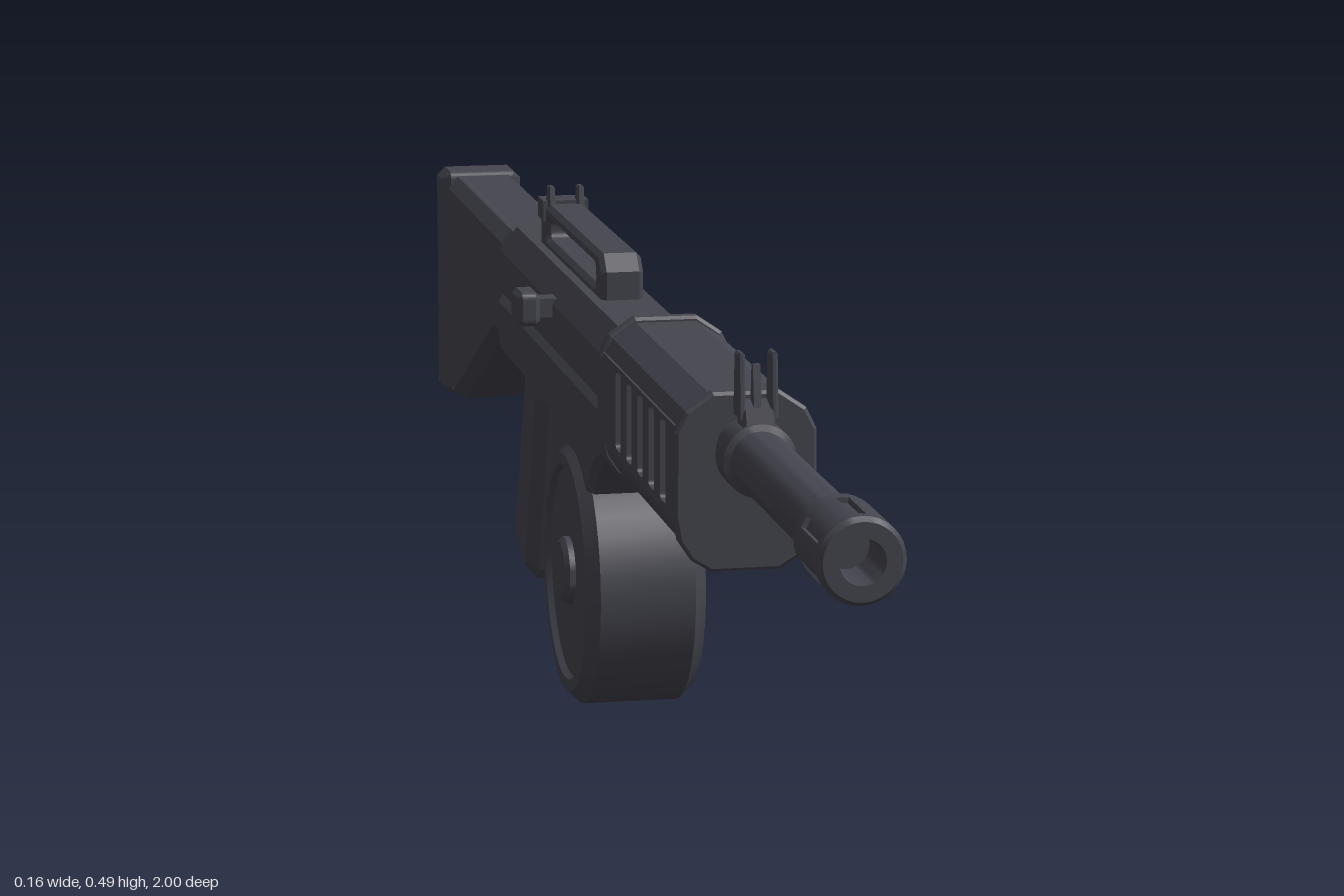
import * as THREE from 'three';
import { toCreasedNormals } from 'three/addons/utils/BufferGeometryUtils.js';

const gunmetal = new THREE.MeshStandardMaterial({ color: 0x45454f });
gunmetal.name = 'gunmetal';

const AXIS_Y = 0.393; // bore height

function toShape(points) {
  return new THREE.Shape(points.map(([x, y]) => new THREE.Vector2(x, y)));
}

// Chamfered extrusion, centred on its depth, keeping the drawn outline
function extrude(shape, depth, bevel) {
  const g = new THREE.ExtrudeGeometry(shape, {
    depth: depth - 2 * bevel, bevelEnabled: bevel > 0, bevelThickness: bevel,
    bevelSize: bevel, bevelOffset: -bevel, bevelSegments: 1, curveSegments: 10,
  });
  return g.translate(0, 0, -depth / 2 + bevel);
}

// Side outline in (z, y), extruded across x
function sidePart(outline, width, bevel) {
  const shape = Array.isArray(outline) ? toShape(outline) : outline;
  return extrude(shape, width, bevel).rotateY(-Math.PI / 2);
}

// Half cross-section (x >= 0, bottom to top), mirrored and run from z0 to z1
function sectionPart(half, z0, z1, bevel) {
  const left = half.map(([x, y]) => [-x, y]).reverse();
  return extrude(toShape([...half, ...left]), z1 - z0, bevel).translate(0, 0, (z0 + z1) / 2);
}

// Turned part along z: profile of [radius, z]
function turned(profile, segments = 32) {
  const g = new THREE.LatheGeometry(profile.map(([r, z]) => new THREE.Vector2(r, z)), segments);
  return toCreasedNormals(g, 0.5).rotateX(Math.PI / 2);
}

function roundedRect(z0, y0, z1, y1, r, path = new THREE.Shape()) {
  path.moveTo(z0 + r, y0);
  path.lineTo(z1 - r, y0).quadraticCurveTo(z1, y0, z1, y0 + r);
  path.lineTo(z1, y1 - r).quadraticCurveTo(z1, y1, z1 - r, y1);
  path.lineTo(z0 + r, y1).quadraticCurveTo(z0, y1, z0, y1 - r);
  path.lineTo(z0, y0 + r).quadraticCurveTo(z0, y0, z0 + r, y0);
  return path;
}

export function createModel() {
  const model = new THREE.Group();
  model.name = 'drumFedRifle';
  const body = new THREE.Group();
  body.name = 'body';
  body.position.x = 0.01;
  model.add(body);

  function add(name, geometry, x = 0, y = 0, z = 0) {
    const mesh = new THREE.Mesh(geometry, gunmetal);
    mesh.name = name;
    mesh.position.set(x, y, z);
    body.add(mesh);
    return mesh;
  }
  const box = (name, w, h, d, x, y, z) => add(name, new THREE.BoxGeometry(w, h, d), x, y, z);

  // Barrel and sight collar
  add('barrel', turned([[0, 0.5], [0.028, 0.5], [0.028, 0.92]]), 0, AXIS_Y, 0);
  add('sightCollar', turned([[0.027, 0.572], [0.034, 0.575], [0.034, 0.61], [0.027, 0.613]]), 0, AXIS_Y, 0);

  // Muzzle with a bore and ribs between its slots
  add('muzzle', turned([
    [0.027, 0.905], [0.035, 0.905], [0.038, 0.91], [0.038, 0.925], [0.033, 0.925], [0.033, 0.985],
    [0.038, 0.985], [0.038, 0.995], [0.034, 1], [0.02, 1], [0.02, 0.94], [0, 0.94],
  ]), 0, AXIS_Y, 0);
  for (let i = 0; i < 6; i++) {
    const a = (i / 6) * Math.PI * 2 - 0.38;
    const rib = new THREE.Shape();
    rib.absarc(0, 0, 0.038, a, a + 0.76, false);
    rib.absarc(0, 0, 0.031, a + 0.76, a, true);
    add('muzzleRib', extrude(rib, 0.062, 0), 0, AXIS_Y, 0.955);
  }

  // Front sight: post and two guard ears
  add('frontSightBase', sidePart([[0.575, 0.41], [0.61, 0.41], [0.603, 0.438], [0.582, 0.445]], 0.03, 0.003));
  add('frontSightPost', sidePart([[0.582, 0.43], [0.6, 0.43], [0.592, 0.478], [0.586, 0.478]], 0.007, 0));
  for (const s of [-1, 1]) {
    add('frontSightEar', sidePart([[0.578, 0.43], [0.602, 0.43], [0.597, 0.49], [0.582, 0.49]], 0.007, 0.002), s * 0.015);
  }

  // Handguard: recessed core, slotted side plates and end bands
  add('handguardCore', sectionPart([
    [0.03, 0.282], [0.047, 0.293], [0.058, 0.31], [0.062, 0.325], [0.052, 0.325],
    [0.052, 0.41], [0.062, 0.41], [0.053, 0.425], [0.03, 0.44],
  ], 0.17, 0.545, 0));
  const plate = toShape([[0.17, 0.322], [0.545, 0.322], [0.545, 0.412], [0.17, 0.412]]);
  for (let i = 0; i < 5; i++) {
    const z = 0.26 + i * 0.055;
    plate.holes.push(roundedRect(z - 0.013, 0.33, z + 0.013, 0.408, 0.006, new THREE.Path()));
  }
  for (const s of [-1, 1]) add('handguardSlots', sidePart(plate, 0.012, 0), s * 0.057);
  for (const z of [0.165, 0.535]) {
    add('handguardBand', sectionPart([
      [0.032, 0.278], [0.05, 0.289], [0.062, 0.307], [0.066, 0.33],
      [0.066, 0.408], [0.056, 0.428], [0.031, 0.445],
    ], z, z + 0.016, 0.003));
  }

  // Receiver: upper, inner core and lower with magazine well
  add('upperReceiver', sectionPart([[0.052, 0.35], [0.052, 0.396], [0.032, 0.421]], -0.51, 0.168, 0.005));
  box('receiverCore', 0.09, 0.04, 0.66, 0, 0.348, -0.17);
  add('lowerReceiver', sidePart([
    [-0.51, 0.345], [-0.51, 0.295], [-0.485, 0.28], [-0.165, 0.28], [-0.145, 0.268], [-0.13, 0.235],
    [0.045, 0.235], [0.06, 0.255], [0.09, 0.278], [0.13, 0.293], [0.165, 0.305], [0.165, 0.345],
  ], 0.108, 0.007));
  box('topLatch', 0.03, 0.012, 0.045, 0, 0.421, 0.14);

  // Charging handle on one side
  box('chargingStem', 0.03, 0.02, 0.025, -0.06, 0.392, -0.178);
  add('chargingKnob', sidePart(roundedRect(-0.202, 0.374, -0.156, 0.41, 0.008), 0.024, 0.005), -0.078);

  // Carry handle with rear sight
  const carry = toShape([[-0.408, 0.41], [-0.043, 0.41], [-0.043, 0.45], [-0.06, 0.467], [-0.4, 0.467], [-0.408, 0.457]]);
  carry.holes.push(roundedRect(-0.37, 0.43, -0.08, 0.451, 0.009, new THREE.Path()));
  add('carryHandle', sidePart(carry, 0.044, 0.005));
  box('rearSightBase', 0.05, 0.022, 0.034, 0, 0.46, -0.391);
  for (const s of [-1, 1]) {
    add('rearSightEar', sidePart([[-0.387, 0.462], [-0.368, 0.462], [-0.372, 0.487], [-0.383, 0.487]], 0.008, 0.002), s * 0.016);
  }

  // Drum magazine, turned about the cross axis
  const drumHalf = [[0, 0.056], [0.108, 0.056], [0.112, 0.062], [0.124, 0.062], [0.137, 0.049]];
  const drum = turned([...drumHalf.map(([r, x]) => [r, -x]), ...drumHalf.slice().reverse()], 40);
  add('drumMagazine', drum.rotateY(Math.PI / 2), 0, 0.137, -0.043);
  const hub = turned([[0, -0.067], [0.03, -0.067], [0.035, -0.062], [0.035, 0.062], [0.03, 0.067], [0, 0.067]]);
  add('drumHub', hub.rotateY(Math.PI / 2), 0, 0.139, -0.043);

  // Trigger guard and trigger
  const guard = toShape([[-0.35, 0.29], [-0.35, 0.202], [-0.338, 0.19], [-0.215, 0.19], [-0.197, 0.208], [-0.197, 0.29]]);
  guard.holes.push(toShape([[-0.335, 0.28], [-0.335, 0.207], [-0.222, 0.207], [-0.213, 0.216], [-0.213, 0.28]]));
  add('triggerGuard', sidePart(guard, 0.036, 0.003));
  add('trigger', sidePart([[-0.284, 0.29], [-0.25, 0.29], [-0.255, 0.25], [-0.262, 0.227], [-0.272, 0.227], [-0.273, 0.255]], 0.016, 0.002));

  // Pistol grip
  add('pistolGrip', sidePart([
    [-0.335, 0.29], [-0.335, 0.255], [-0.407, 0.05], [-0.422, 0.037], [-0.492, 0.063], [-0.498, 0.08], [-0.42, 0.29],
  ], 0.078, 0.014));

  // Shoulder stock, its joint and butt pad
  box('stockJoint', 0.07, 0.1, 0.04, 0, 0.348, -0.515);
  add('stockCollar', sectionPart([[0.034, 0.285], [0.046, 0.297], [0.046, 0.398], [0.034, 0.413]], -0.535, -0.518, 0.003));
  add('stock', sidePart([
    [-0.525, 0.41], [-0.525, 0.286], [-0.6, 0.279], [-0.63, 0.265], [-0.875, 0.152],
    [-0.895, 0.147], [-0.932, 0.147], [-0.938, 0.155], [-0.938, 0.41],
  ], 0.088, 0.013));
  box('buttSpacer', 0.074, 0.24, 0.03, 0, 0.28, -0.942);
  add('buttPad', sidePart(roundedRect(-1, 0.142, -0.945, 0.414, 0.01), 0.096, 0.01));

  return model;
}
